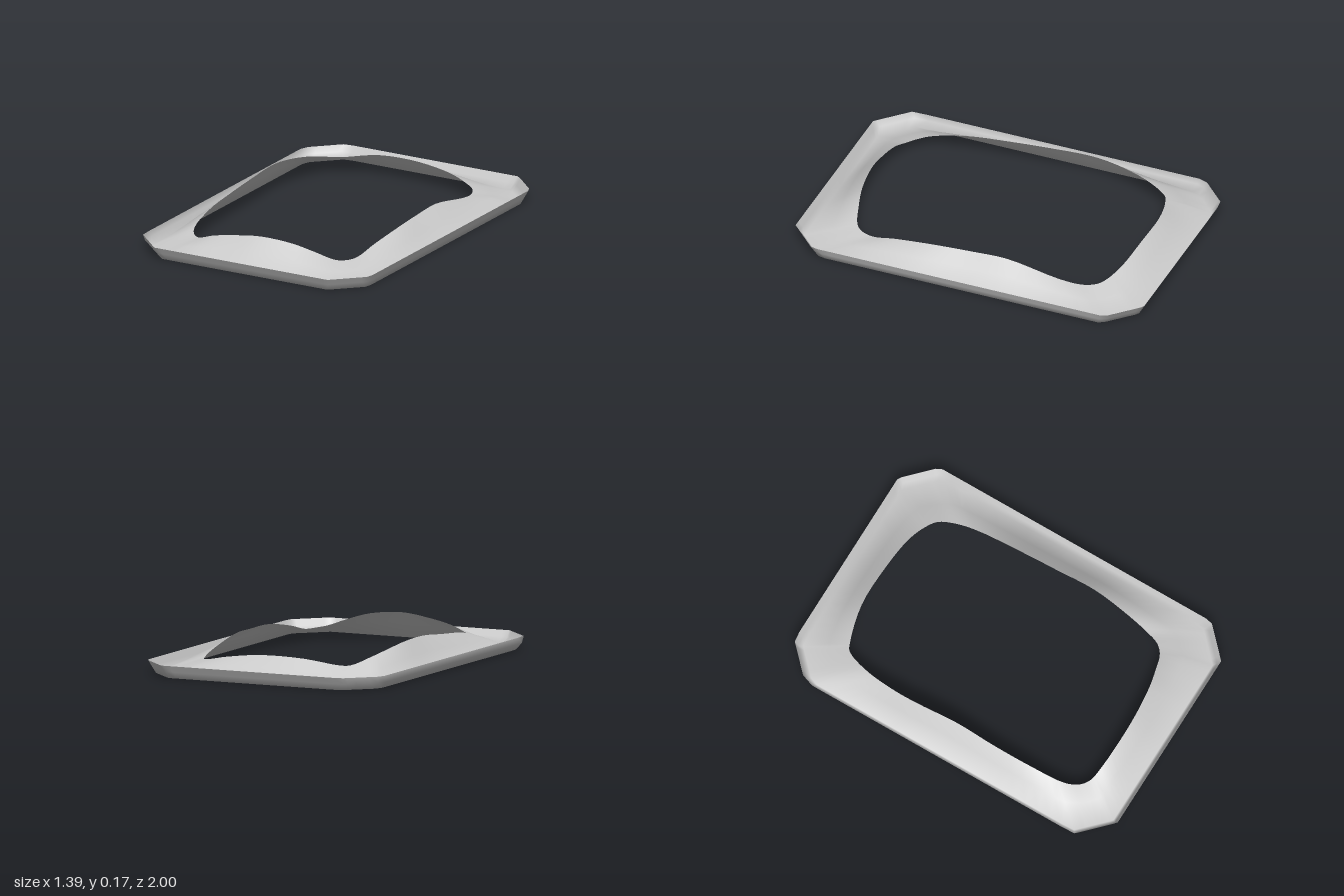
import * as THREE from 'three';

// Inner lip of the frame: x, height, z, going round from the front centre
const LIP = [
  [0, 0.16, 0.785], [0.18, 0.145, 0.765], [0.3, 0.11, 0.735], [0.4, 0.074, 0.7],
  [0.445, 0.066, 0.655], [0.47, 0.067, 0.58], [0.49, 0.1, 0.45], [0.51, 0.135, 0.23],
  [0.5, 0.142, 0], [0.492, 0.142, -0.2], [0.488, 0.088, -0.5], [0.465, 0.07, -0.62],
  [0.43, 0.072, -0.69], [0.38, 0.08, -0.725], [0.26, 0.105, -0.765], [0.05, 0.13, -0.785],
  [-0.2, 0.127, -0.785], [-0.4, 0.096, -0.735], [-0.445, 0.097, -0.71], [-0.5, 0.128, -0.58],
  [-0.53, 0.158, -0.4], [-0.535, 0.172, -0.25], [-0.52, 0.17, 0], [-0.522, 0.15, 0.22],
  [-0.515, 0.128, 0.45], [-0.49, 0.09, 0.65], [-0.45, 0.076, 0.72], [-0.4, 0.078, 0.755],
  [-0.3, 0.112, 0.775], [-0.15, 0.142, 0.785],
];

const RIM_HEIGHT = 0.07;

// Pushes a lip point outward onto the rectangular rim with cut corners
function toRim(p) {
  const x = Math.abs(p.x), z = Math.abs(p.z);
  const s = 1 / Math.max(x / 0.697, z, (x * 0.155 + z * 0.16) / 0.2425);
  return new THREE.Vector3(p.x * s, RIM_HEIGHT, p.z * s);
}

// Cross-section from the outer rim, down the wall to the keel, up to the lip
function section(lip) {
  const rim = toRim(lip);
  const keel = new THREE.Vector3(rim.x * 0.957, 0, rim.z * 0.961);
  const wall = rim.clone().lerp(keel, 0.5);
  if (lip.x < 0) wall.x = THREE.MathUtils.lerp(wall.x, rim.x, 0.8);
  const slope = keel.clone().lerp(lip, 0.55);
  slope.y += 0.006;
  return [rim, wall, keel, slope, lip];
}

// Closed loft of the sections around the opening
function frameGeometry(segments = 120) {
  const curve = new THREE.CatmullRomCurve3(
    LIP.map((p) => new THREE.Vector3(...p)), true, 'centripetal');
  const positions = [], index = [], rows = 5;
  for (let i = 0; i < segments; i++) {
    for (const v of section(curve.getPoint(i / segments))) positions.push(v.x, v.y, v.z);
    const a = i * rows, b = ((i + 1) % segments) * rows;
    for (let j = 0; j < rows - 1; j++) {
      index.push(a + j, b + j, b + j + 1, a + j, b + j + 1, a + j + 1);
    }
  }
  const geometry = new THREE.BufferGeometry();
  geometry.setAttribute('position', new THREE.Float32BufferAttribute(positions, 3));
  geometry.setIndex(index);
  geometry.computeVertexNormals();
  return geometry;
}

export function createModel() {
  const group = new THREE.Group();
  group.name = 'openFrame';
  // Thin channel-shaped shell, visible from both sides
  const frame = new THREE.Mesh(frameGeometry(),
    new THREE.MeshStandardMaterial({ color: 0xcccccc, side: THREE.DoubleSide }));
  frame.name = 'frameShell';
  group.add(frame);
  return group;
}
